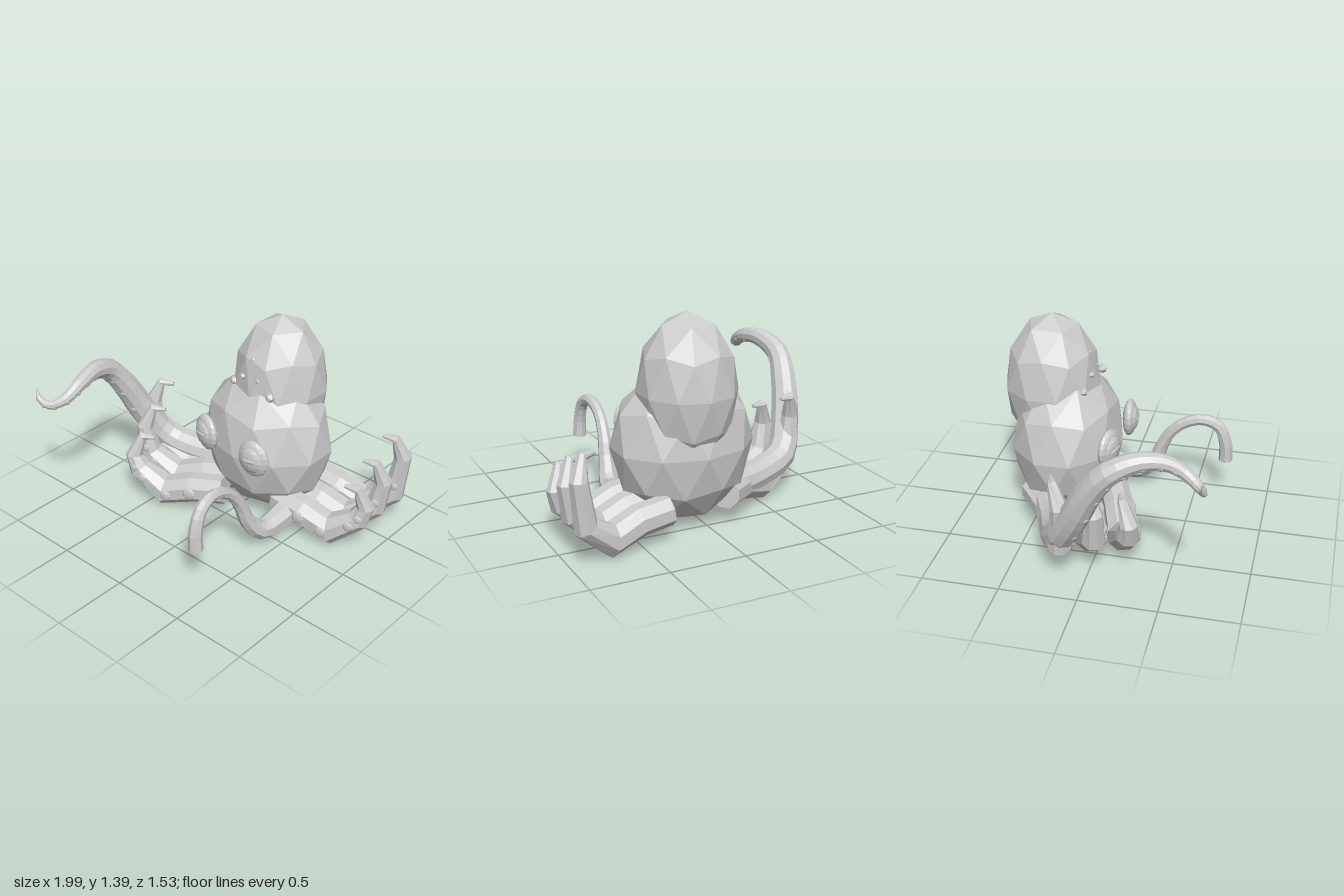
import * as THREE from 'three';

const V = (a) => new THREE.Vector3(...a);
const skin = new THREE.MeshStandardMaterial({ color: 0xcccccc, flatShading: true });
skin.name = 'paleGrey';

function add(parent, name, geometry, pos = [0, 0, 0], scale = [1, 1, 1]) {
  const m = new THREE.Mesh(geometry, skin);
  m.name = name;
  m.position.set(...pos);
  m.scale.set(...scale);
  parent.add(m);
  return m;
}

// Tapered, capped tube through a list of points with a radius at each one
function limbGeometry(pts, radii, sides = 8) {
  const pos = [], idx = [], last = pts.length - 1;
  let n = new THREE.Vector3(0, 1, 0);
  pts.forEach((p, i) => {
    const before = p.clone().sub(pts[Math.max(i - 1, 0)]).normalize();
    const after = pts[Math.min(i + 1, last)].clone().sub(p).normalize();
    const t = before.add(after).normalize();
    n = n.clone().addScaledVector(t, -n.dot(t)).normalize();
    const b = t.clone().cross(n);
    for (let j = 0; j < sides; j++) {
      const a = ((j + 0.5) / sides) * Math.PI * 2;
      const v = p.clone().addScaledVector(n, Math.cos(a) * radii[i]).addScaledVector(b, Math.sin(a) * radii[i]);
      pos.push(v.x, v.y, v.z);
    }
  });
  const c0 = pos.length / 3;
  pos.push(...pts[0].toArray(), ...pts[last].toArray());
  for (let j = 0; j < sides; j++) {
    const k = (j + 1) % sides;
    for (let i = 0; i < last; i++) {
      const a = i * sides + j, b = i * sides + k;
      idx.push(a, b, a + sides, b, b + sides, a + sides);
    }
    idx.push(c0, k, j, c0 + 1, last * sides + j, last * sides + k);
  }
  const g = new THREE.BufferGeometry();
  g.setAttribute('position', new THREE.Float32BufferAttribute(pos, 3));
  g.setIndex(idx);
  g.computeVertexNormals();
  return g;
}

// Flattened knob facing along dir
function sucker(parent, p, dir, r) {
  const m = add(parent, 'sucker', new THREE.SphereGeometry(r, 8, 6), p.toArray(), [1, 1, 0.35]);
  m.quaternion.setFromUnitVectors(new THREE.Vector3(0, 0, 1), dir);
}

// Smooth list of points and radii from rows of x, y, z, radius
function smooth(rows, count) {
  const curve = new THREE.CatmullRomCurve3(rows.map((r) => V(r)), false, 'centripetal');
  const pts = curve.getPoints(count);
  const radii = pts.map((_, i) => {
    const f = (i / count) * (rows.length - 1), k = Math.min(Math.floor(f), rows.length - 2);
    return THREE.MathUtils.lerp(rows[k][3], rows[k + 1][3], f - k);
  });
  return { pts, radii };
}

// Short bent arm: side is the x sign, inner and outer are the z drift per unit
// of reach, pull draws the lower half towards the body, h is the height
function arm(parent, name, { side, shift = 0, pull = 0, z, inner, outer, h }) {
  const rows = [
    [0.31, 0.2, 0.1], [0.52, 0.17, 0.103], [0.72, 0.102, 0.108], [0.895, 0.235, 0.079],
    [0.935, h - 0.165, 0.059], [0.895, h - 0.025, 0.033], [0.81, h - 0.022, 0.013],
  ];
  const g = new THREE.Group();
  g.name = name;
  parent.add(g);
  const pts = rows.map(([x, y], i) => V([
    side * (i < 3 ? x - pull : x) + shift, y,
    z + (x < 0.6 ? inner : outer) * (x - 0.6) - (i > 4 ? 0.1 * outer : 0),
  ]));
  add(g, 'armTube', limbGeometry(pts, rows.map((r) => r[2])));
  const dir = V([-side * outer, 0, 1]).normalize();
  [[0, 1], [1, 0.8], [2, 0.75], [3, 0.3]].forEach(([i, f], k) => {
    const p = pts[i].clone().lerp(pts[i + 1], f);
    const r = THREE.MathUtils.lerp(rows[i][2], rows[i + 1][2], f);
    sucker(g, p.addScaledVector(dir, r * 0.93), dir, 0.046 - k * 0.006);
  });
}

// Domed eye with a raised ball and a slit
function eye(parent, name, x, z, turn) {
  const g = new THREE.Group();
  g.name = name;
  g.position.set(x, 0.595, z);
  g.rotation.y = turn;
  parent.add(g);
  add(g, 'eyeRim', new THREE.SphereGeometry(1, 14, 10), [0, 0, 0], [0.118, 0.128, 0.047]);
  add(g, 'eyeBall', new THREE.SphereGeometry(1, 12, 8), [0, 0, 0.025], [0.085, 0.09, 0.035]);
  const slit = add(g, 'eyeSlit', new THREE.SphereGeometry(1, 8, 6), [0, 0.005, 0.055], [0.055, 0.014, 0.01]);
  slit.rotation.z = 0.1;
}

export function createModel() {
  const model = new THREE.Group();
  model.name = 'octopus';

  // Faceted body and head, each with a vertex at its pole
  const ball = new THREE.IcosahedronGeometry(1, 1).rotateZ(-Math.atan(2 / (1 + Math.sqrt(5))));
  add(model, 'body', ball, [0.095, 0.523, -0.33], [0.473, 0.515, 0.372]);
  add(model, 'head', ball, [0.11, 0.895, -0.43], [0.32, 0.495, 0.322]);

  eye(model, 'rightEye', -0.16, 0.005, -0.3);
  eye(model, 'leftEye', 0.285, 0.05, 0.06);

  // Warts on the front of the head
  [[-0.08, 0.94, -0.18, 0.03], [0.26, 0.955, -0.135, 0.034], [0.02, 1.02, -0.15, 0.022],
    [0.15, 1.03, -0.15, 0.022], [0.08, 1.15, -0.18, 0.018]].forEach(([x, y, z, r]) =>
    add(model, 'wart', new THREE.IcosahedronGeometry(r, 0), [x, y, z]));

  // Three bent arms on each side
  [0.5, 0.6, 0.69].forEach((h, i) => {
    arm(model, 'leftArm', { side: 1, z: [-0.2, -0.39, -0.6][i], inner: -0.05, outer: -0.3, h });
    arm(model, 'rightArm', {
      side: -1, shift: [0.31, 0.22, 0.12][i], pull: [0, 0.03, 0.07][i],
      z: [0.12, -0.08, -0.27][i], inner: [0.4, 0.42, 0.85][i], outer: 0.36, h,
    });
  });

  // Long raised tentacle with two rows of suckers
  const raised = smooth([
    [-0.15, 0.2, -0.42, 0.11], [-0.45, 0.19, -0.29, 0.103], [-0.72, 0.26, -0.19, 0.1], [-0.83, 0.48, -0.06, 0.096],
    [-0.88, 0.7, 0.05, 0.088], [-0.905, 0.87, 0.18, 0.076], [-0.86, 0.945, 0.36, 0.06], [-0.82, 0.925, 0.52, 0.049],
    [-0.83, 0.86, 0.64, 0.039], [-0.9, 0.825, 0.72, 0.029], [-0.97, 0.86, 0.74, 0.019], [-0.99, 0.92, 0.735, 0.005],
  ], 33);
  const tentacle = new THREE.Group();
  tentacle.name = 'raisedTentacle';
  model.add(tentacle);
  add(tentacle, 'tentacleTube', limbGeometry(raised.pts, raised.radii, 10));
  for (let i = 8; i < 31; i += 2) {
    const p = raised.pts[i], r = raised.radii[i];
    const t = raised.pts[i + 1].clone().sub(raised.pts[i - 1]).normalize();
    for (const s of [-0.55, 0.55]) {
      const d = V([s, -0.7, 0.7]);
      d.addScaledVector(t, -d.dot(t)).normalize();
      sucker(tentacle, p.clone().addScaledVector(d, r * 0.95), d, 0.008 + r * 0.17);
    }
  }

  // Arched front tentacle with a blunt end
  const arch = smooth([
    [0.42, 0.17, -0.2, 0.09], [0.42, 0.135, -0.03, 0.08], [0.41, 0.13, 0.11, 0.069], [0.385, 0.24, 0.215, 0.054],
    [0.37, 0.42, 0.29, 0.042], [0.36, 0.545, 0.4, 0.038], [0.365, 0.592, 0.54, 0.038], [0.375, 0.545, 0.65, 0.041],
    [0.38, 0.42, 0.7, 0.045], [0.385, 0.29, 0.705, 0.048],
  ], 22);
  add(model, 'archedTentacle', limbGeometry(arch.pts, arch.radii, 8));

  return model;
}
